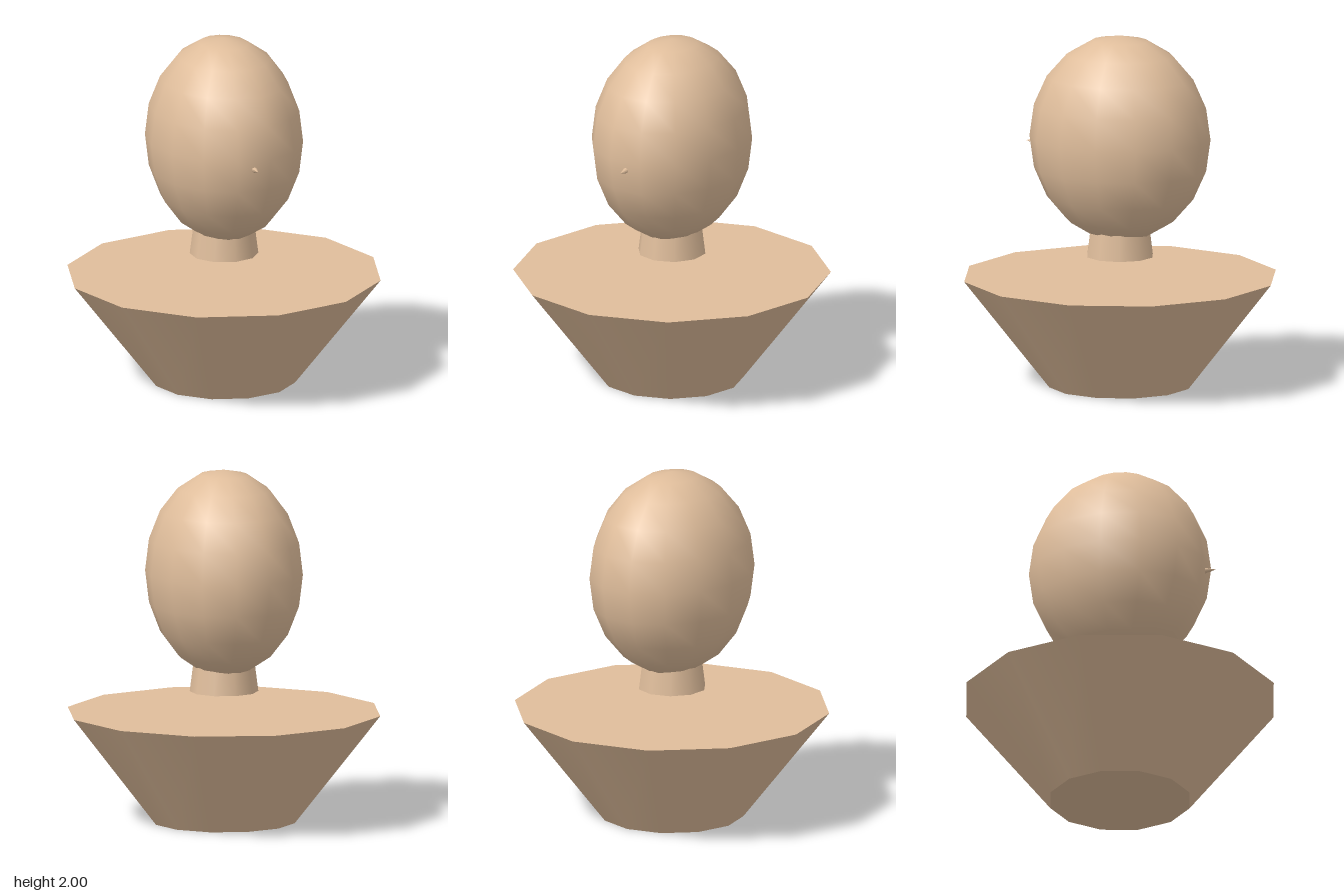
import * as THREE from 'three';

export function createModel() {
  const group = new THREE.Group();
  const skin = new THREE.MeshStandardMaterial({ color: 0xdfbd9b });
  skin.name = 'skin';

  const add = (name, geometry, x, y, z) => {
    const mesh = new THREE.Mesh(geometry, skin);
    mesh.name = name;
    mesh.position.set(x, y, z);
    group.add(mesh);
    return mesh;
  };

  // Flared body, wide at the shoulders
  add('body', new THREE.CylinderGeometry(0.893, 0.405, 0.623, 12), 0, 0.3115, 0);

  // Tapered neck, floating above the body and sunk into the head
  add('neck', new THREE.CylinderGeometry(0.166, 0.193, 0.21, 10), 0, 0.845, 0);

  // Egg-shaped head
  const head = new THREE.SphereGeometry(1, 14, 10);
  head.scale(0.434, 0.585, 0.517);
  add('head', head, 0, 1.415, 0);

  // Small pointed nose
  const nose = new THREE.ConeGeometry(0.021, 0.075, 6);
  nose.rotateX(Math.PI / 2);
  add('nose', nose, 0, 1.365, 0.52);

  return group;
}
